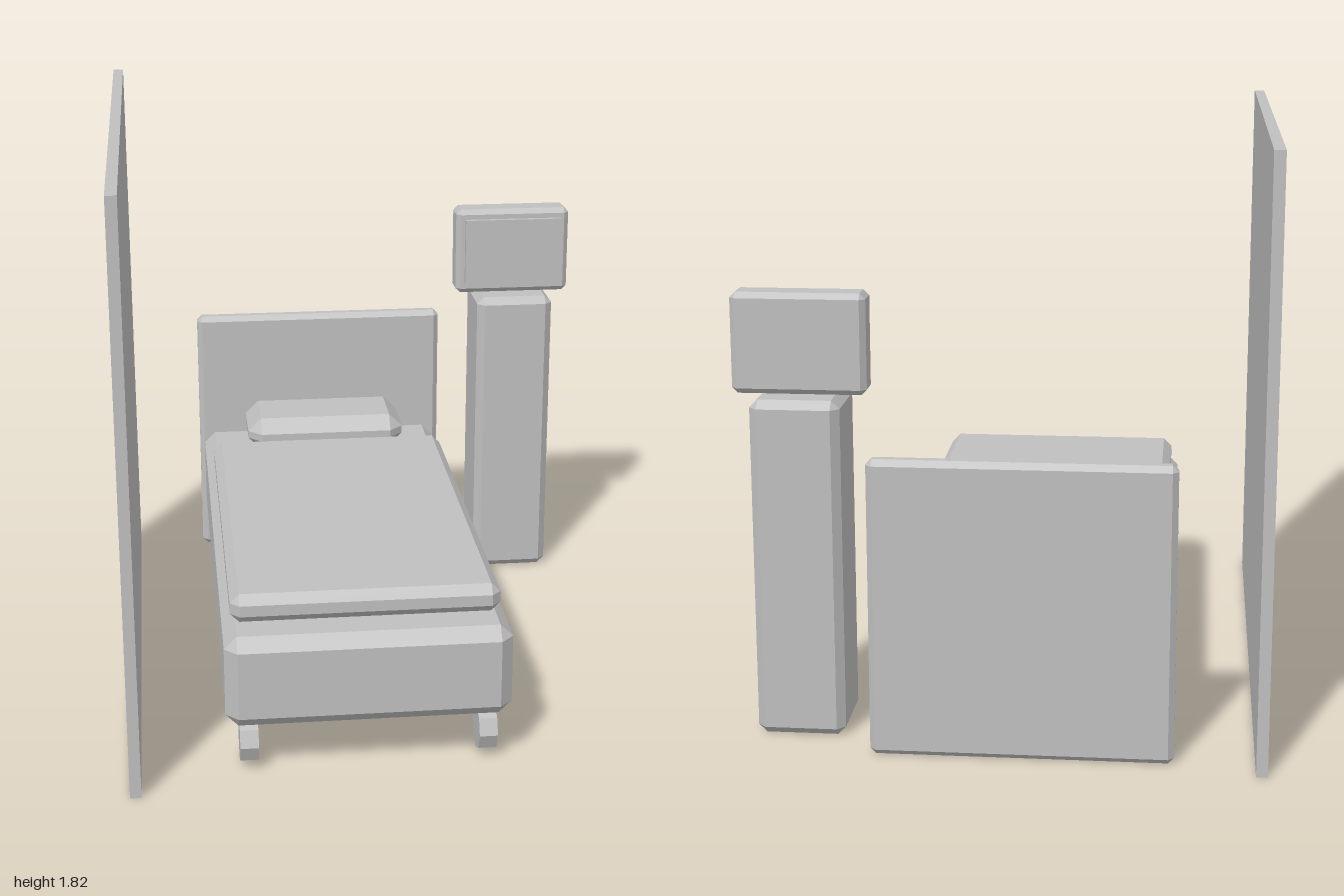
import * as THREE from 'three';
import { ConvexGeometry } from 'three/addons/geometries/ConvexGeometry.js';

export function createModel() {
  const group = new THREE.Group();
  const grey = new THREE.MeshStandardMaterial({ color: 0xbfbfbf });
  grey.name = 'plainGrey';

  const add = (name, geometry, x, y, z) => {
    const mesh = new THREE.Mesh(geometry, grey);
    mesh.name = name;
    mesh.position.set(x, y, z);
    group.add(mesh);
    return mesh;
  };

  // Box between two limits per axis, with every edge chamfered by c (0 = sharp)
  const block = (name, [x0, x1], [y0, y1], [z0, z1], c = 0) => {
    const w = x1 - x0, h = y1 - y0, d = z1 - z0;
    let geometry;
    if (c === 0) {
      geometry = new THREE.BoxGeometry(w, h, d);
    } else {
      const points = [];
      for (const sx of [-1, 1]) for (const sy of [-1, 1]) for (const sz of [-1, 1]) {
        for (let axis = 0; axis < 3; axis++) {
          points.push(new THREE.Vector3(
            sx * (w / 2 - (axis === 0 ? 0 : c)),
            sy * (h / 2 - (axis === 1 ? 0 : c)),
            sz * (d / 2 - (axis === 2 ? 0 : c))));
        }
      }
      geometry = new ConvexGeometry(points);
    }
    return add(name, geometry, (x0 + x1) / 2, (y0 + y1) / 2, (z0 + z1) / 2);
  };

  // Tall divider beside the bed
  block('dividerPanel', [-0.808, -0.774], [0, 1.82], [-1, 1]);

  // Bed
  block('bedBase', [-0.518, 0.349], [0.164, 0.457], [-0.93, 0.93], 0.039);
  block('blanket', [-0.494, 0.326], [0.456, 0.547], [-0.546, 0.816], 0.028);
  block('pillow', [-0.365, 0.2], [0.48, 0.6], [-0.862, -0.57], 0.047);
  block('headboard', [-0.535, 0.37], [0, 0.91], [-0.943, -0.882], 0.018);

  // Eight-sided wheels under the corners
  for (const x of [-0.447, 0.282]) for (const z of [-0.82, 0.82]) {
    const geometry = new THREE.CylinderGeometry(0.071, 0.071, 0.056, 8).toNonIndexed();
    geometry.rotateZ(Math.PI / 2);
    geometry.computeVertexNormals();
    add('wheel', geometry, x, 0.084, z);
  }

  // Monitor on its pedestal
  block('pedestal', [0.466, 0.736], [0, 1.048], [-0.818, -0.549], 0.025);
  block('monitorCase', [0.396, 0.803], [1.049, 1.356], [-0.735, -0.628], 0.017);
  block('monitorScreen', [0.427, 0.771], [1.088, 1.322], [-0.65, -0.611]);

  return group;
}
